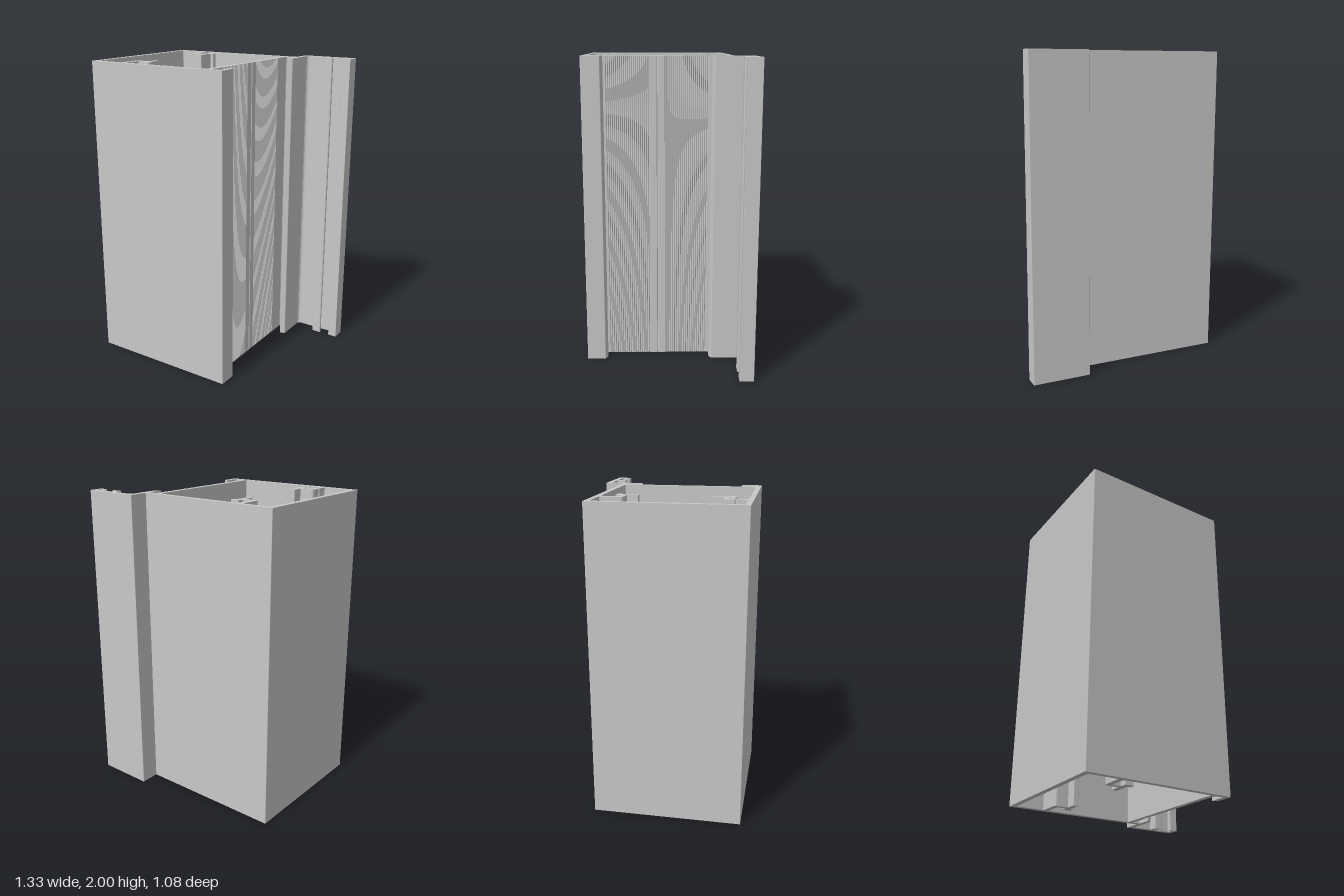
import * as THREE from 'three';

const HEIGHT = 2;
const MID = 0.0635; // z of the cavity's mirror line

// Trace a closed outline from [x, z, cornerRadius] points, rounding the corners.
function trace(path, pts) {
  const n = pts.length;
  const at = (i) => new THREE.Vector2(pts[(i + n) % n][0], -pts[(i + n) % n][1]);
  for (let i = 0; i < n; i++) {
    const p = at(i), r = pts[i][2] || 0;
    const a = p.clone().add(at(i - 1).sub(p).setLength(r));
    const b = p.clone().add(at(i + 1).sub(p).setLength(r));
    if (i === 0) path.moveTo(a.x, a.y);
    else path.lineTo(a.x, a.y);
    if (r) path.quadraticCurveTo(p.x, p.y, b.x, b.y);
  }
  path.closePath();
  return path;
}

// Fine V-grooves with narrow lands along the divider's outer face, towards -z.
function grooves(zStart, zEnd, count) {
  const pts = [], step = (zEnd - zStart) / count;
  for (let i = 0; i < count; i++) {
    const z = zStart + i * step;
    pts.push([0.234, z], [0.229, z + step * 0.35], [0.234, z + step * 0.7]);
  }
  pts.push([0.234, zEnd]);
  return pts;
}

// Screw-channel hook at the back wall, listed from its left root to its right root.
const hook = [
  [-0.443, -0.379, 0.01], [-0.443, -0.231, 0.02], [-0.35, -0.231],
  [-0.35, -0.161, 0.005], [-0.315, -0.161, 0.005], [-0.315, -0.271],
  [-0.292, -0.271, 0.005], [-0.292, -0.303, 0.005], [-0.35, -0.303, 0.005],
  [-0.35, -0.262, 0.005], [-0.409, -0.262, 0.01], [-0.409, -0.379, 0.02],
];
const frontHook = hook.map(([x, z, r]) => [x, 2 * MID - z, r]).reverse();
// Small notch in the front hook's stem.
frontHook.splice(-1, 0, [-0.443, 0.427], [-0.437, 0.434], [-0.443, 0.441]);

export function createModel() {
  const group = new THREE.Group();
  group.name = 'extrudedFrameProfile';
  const aluminium = new THREE.MeshStandardMaterial({ color: 0xc8c8c8 });
  aluminium.name = 'light grey aluminium';

  // Outer contour: box, grooved channel, back lip and offset arm with hooks
  const outline = trace(new THREE.Shape(), [
    [-0.667, 0.538, 0.004], [0.327, 0.538, 0.004],
    [0.327, 0.418, 0.004], [0.293, 0.401, 0.004],
    [0.293, 0.506, 0.01], [0.234, 0.506, 0.01],
    ...grooves(0.39, 0.112, 22),
    [0.234, 0.07], [0.229, 0.065], [0.234, 0.06],
    ...grooves(0.018, -0.262, 22),
    [0.234, -0.379, 0.01], [0.293, -0.379, 0.01],
    [0.293, -0.274, 0.004], [0.327, -0.291, 0.004],
    [0.327, -0.505, 0.025], [0.475, -0.505, 0.008],
    [0.475, -0.446, 0.003], [0.537, -0.446, 0.01],
    [0.537, -0.469, 0.01], [0.508, -0.469, 0.008], [0.508, -0.505, 0.008],
    [0.632, -0.505, 0.008], [0.632, -0.469, 0.008], [0.603, -0.469, 0.01],
    [0.603, -0.446, 0.01], [0.664, -0.446, 0.003],
    [0.664, -0.538, 0.003], [0.293, -0.538, 0.003],
    [0.293, -0.412], [-0.667, -0.412, 0.004],
  ]);

  // Main cavity, with the two hooks standing into it
  outline.holes.push(trace(new THREE.Path(), [
    [-0.633, -0.379, 0.006], ...hook, [0.2, -0.379, 0.006],
    [0.2, 0.506, 0.006], ...frontHook, [-0.633, 0.506, 0.006],
  ]));

  const geometry = new THREE.ExtrudeGeometry(outline, {
    depth: HEIGHT, bevelEnabled: false, curveSegments: 4,
  });
  geometry.rotateX(-Math.PI / 2);
  const profile = new THREE.Mesh(geometry, aluminium);
  profile.name = 'hollowProfile';
  group.add(profile);
  return group;
}
